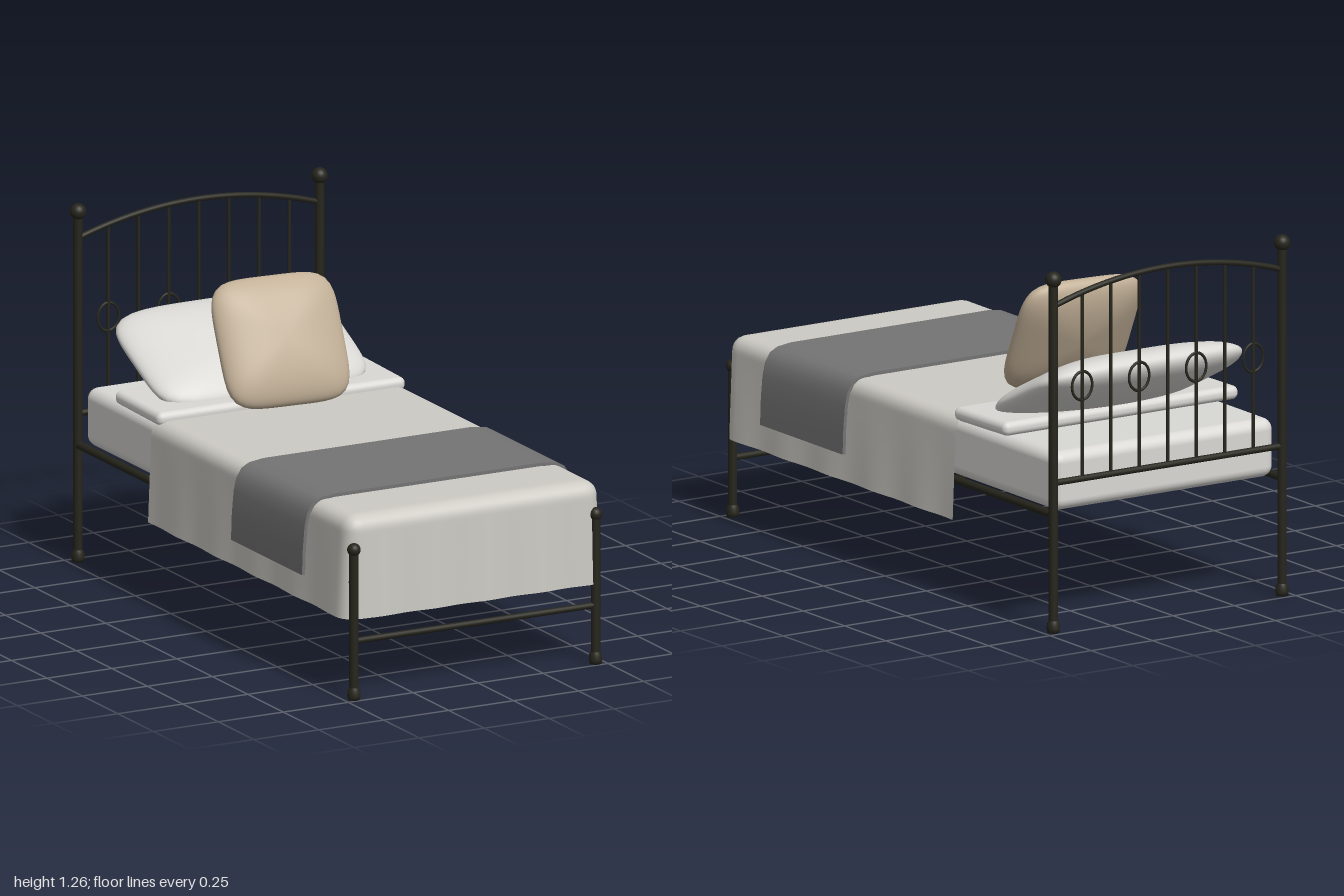
import * as THREE from 'three';
import { mergeVertices, toCreasedNormals } from 'three/addons/utils/BufferGeometryUtils.js';
import { RoundedBoxGeometry } from 'three/addons/geometries/RoundedBoxGeometry.js';

const mat = (name, color, side = THREE.FrontSide) => {
  const m = new THREE.MeshStandardMaterial({ color, side });
  m.name = name;
  return m;
};

export function createModel() {
  const root = new THREE.Group();
  root.name = 'bed';
  const metal = mat('dark iron', 0x26251c);
  const linen = mat('white linen', 0xd9d8d4);
  const cover = mat('cream cover', 0xcdcbc4, THREE.DoubleSide);
  const grey = mat('grey wool', 0x747474);
  const tan = mat('tan fabric', 0xc2b097);

  const add = (name, geo, material, x = 0, y = 0, z = 0, parent = root) => {
    const m = new THREE.Mesh(geo, material);
    m.name = name;
    m.position.set(x, y, z);
    parent.add(m);
    return m;
  };

  // Round bar between two points
  const bar = (name, a, b, r, parent = root) => {
    const p = new THREE.Vector3(...a), q = new THREE.Vector3(...b);
    const d = q.clone().sub(p);
    const m = add(name, new THREE.CylinderGeometry(r, r, d.length(), 16), metal, 0, 0, 0, parent);
    m.position.copy(p).add(q).multiplyScalar(0.5);
    m.quaternion.setFromUnitVectors(new THREE.Vector3(0, 1, 0), d.normalize());
    return m;
  };

  const HEAD = -0.968, FOOT = 0.976, PX = 0.465;

  // Posts with turned feet and ball finials
  const post = (name, x, z, height, ball) => {
    const g = new THREE.Group();
    g.name = name;
    root.add(g);
    bar('postShaft', [x, 0.02, z], [x, height, z], 0.016, g);
    add('postBall', new THREE.SphereGeometry(ball, 24, 16), metal, x, height, z, g);
    const foot = [[0, 0], [0.02, 0], [0.023, 0.012], [0.022, 0.03], [0.016, 0.042]];
    add('postFoot', new THREE.LatheGeometry(foot.map(p => new THREE.Vector2(...p)), 20), metal, x, 0, z, g);
  };
  for (const s of [-1, 1]) {
    post('headPost', s * PX, HEAD, 1.228, 0.028);
    post('footPost', s * PX, FOOT, 0.525, 0.023);
    bar('sideRail', [s * PX, 0.41, HEAD], [s * PX, 0.41, FOOT], 0.014);
  }
  bar('footLowerRail', [-PX, 0.205, FOOT], [PX, 0.205, FOOT], 0.011);
  bar('footUpperRail', [-PX, 0.41, FOOT - 0.02], [PX, 0.41, FOOT - 0.02], 0.012);

  // Headboard: arch, cross rail, spindles and rings
  const archY = x => 1.21 - 0.075 * (x / PX) ** 2;
  const archPts = [];
  for (let i = 0; i <= 12; i++) {
    const x = PX * (i / 6 - 1);
    archPts.push(new THREE.Vector3(x, archY(x), HEAD));
  }
  add('headArch', new THREE.TubeGeometry(new THREE.CatmullRomCurve3(archPts), 48, 0.01, 12), metal);
  bar('headCrossRail', [-PX, 0.52, HEAD], [PX, 0.52, HEAD], 0.011);
  for (let i = -3; i <= 3; i++) {
    const x = i * 0.116;
    bar('spindle', [x, 0.52, HEAD], [x, archY(x), HEAD], 0.006);
    if (i % 2) {
      const ring = add('spindleRing', new THREE.TorusGeometry(0.041, 0.0045, 10, 36), metal, x, 0.843, HEAD);
      ring.scale.y = 1.2;
    }
  }

  // Mattress and folded sheet
  add('mattress', new RoundedBoxGeometry(0.9, 0.205, 1.9, 5, 0.04), linen, 0, 0.513, -0.005);
  const fold = add('foldedSheet', new RoundedBoxGeometry(0.955, 0.048, 0.32, 5, 0.022), linen, 0, 0.644, -0.535);
  fold.rotation.x = 0.02;

  // Bed cover: open shell, rounded on top and at the foot, flaring and rippling downward
  const W = 0.488, TOP = 0.636, BOT = 0.28, BACK = -0.41, FRONT = 0.98, R = 0.052;
  const box = new THREE.BoxGeometry(2 * W, TOP - BOT, FRONT - BACK, 64, 32, 80);
  box.translate(0, (TOP + BOT) / 2, (FRONT + BACK) / 2);
  const kept = [];
  box.groups.forEach((g, i) => {
    if (i === 3 || i === 5) return;           // leave underside and head end open
    for (let k = g.start; k < g.start + g.count; k++) kept.push(box.index.getX(k));
  });
  box.setIndex(kept);
  box.clearGroups();
  box.deleteAttribute('normal');
  box.deleteAttribute('uv');
  const shell = mergeVertices(box, 1e-5);
  const pos = shell.attributes.position;
  const p = new THREE.Vector3(), c = new THREE.Vector3();
  for (let i = 0; i < pos.count; i++) {
    p.fromBufferAttribute(pos, i);
    c.set(THREE.MathUtils.clamp(p.x, R - W, W - R), Math.min(p.y, TOP - R), Math.min(p.z, FRONT - R));
    p.sub(c);
    if (p.lengthSq() > 0) p.setLength(R);
    p.add(c);
    const drop = THREE.MathUtils.clamp((TOP - R - p.y) / (TOP - R - BOT), 0, 1);
    const sideways = Math.max(0, (Math.abs(p.x) - W + R) / R);
    const forward = Math.max(0, (p.z - FRONT + R) / R);
    p.x += Math.sign(p.x) * sideways * drop * (0.012 + 0.003 * Math.sin(p.z * 23));
    p.z += forward * drop * (0.004 + 0.003 * Math.sin(p.x * 31));
    pos.setXYZ(i, p.x, p.y, p.z);
  }
  shell.computeVertexNormals();
  add('bedCover', shell, cover);

  // Throw draped across the foot end
  const half = [[0.525, 0.38], [0.522, 0.47], [0.515, 0.55], [0.505, 0.595], [0.485, 0.627], [0.455, 0.643], [0.4, 0.65]];
  const inner = [[0.4, 0.638], [0.452, 0.632], [0.478, 0.617], [0.494, 0.59], [0.503, 0.55], [0.51, 0.47], [0.513, 0.38]];
  const mirror = pts => pts.map(([x, y]) => [-x, y]).reverse();
  const outline = [...half, ...mirror(half), ...mirror(inner), ...inner].map(q => new THREE.Vector2(...q));
  const throwGeo = new THREE.ExtrudeGeometry(new THREE.Shape(outline), { depth: 0.5, bevelEnabled: false });
  add('throwBlanket', toCreasedNormals(throwGeo, 0.7), grey, 0, 0, 0.22);

  // Stuffed cushion: sphere squared off in its plane
  const cushion = (name, w, h, t, power, material) => {
    let g = new THREE.SphereGeometry(1, 64, 40);
    g.rotateX(Math.PI / 2);
    g.deleteAttribute('normal');
    g.deleteAttribute('uv');
    g = mergeVertices(g, 1e-5);
    const a = g.attributes.position;
    for (let i = 0; i < a.count; i++) {
      const x = a.getX(i), y = a.getY(i);
      const k = (Math.abs(x) ** power + Math.abs(y) ** power) ** (1 / power);
      const s = k > 1e-6 ? Math.hypot(x, y) / k : 1;
      a.setXYZ(i, x * s * w, y * s * h, a.getZ(i) * t);
    }
    g.computeVertexNormals();
    return add(name, g, material);
  };
  const pillow = cushion('pillow', 0.408, 0.255, 0.082, 5, linen);
  pillow.position.set(0, 0.755, -0.672);
  pillow.rotation.x = -1.12;
  const square = cushion('squareCushion', 0.23, 0.226, 0.075, 5, tan);
  square.position.set(-0.008, 0.86, -0.378);
  square.rotation.set(-0.47, -0.08, 0, 'YXZ');

  return root;
}
